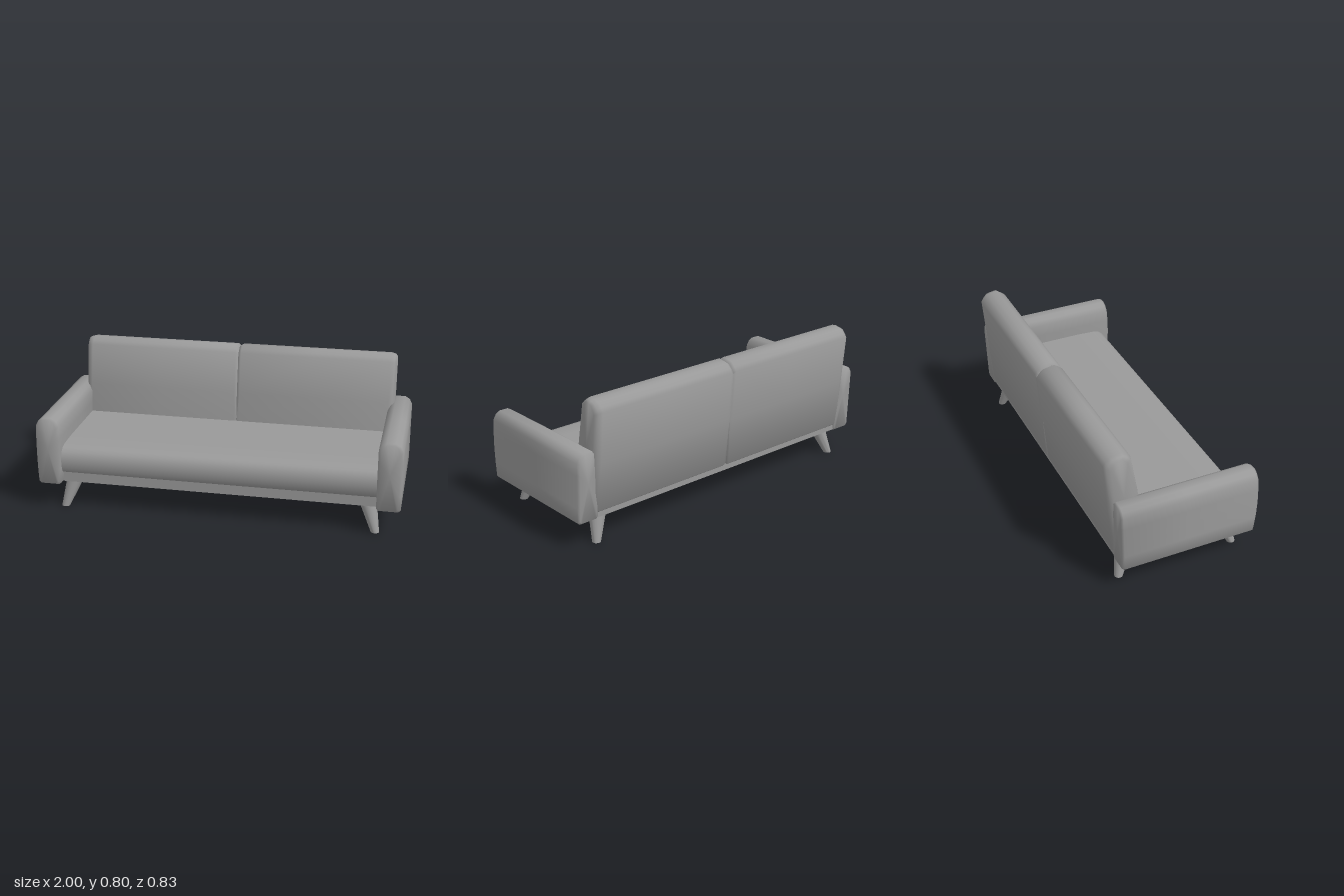
import * as THREE from 'three';
import { toCreasedNormals } from 'three/addons/utils/BufferGeometryUtils.js';

const material = new THREE.MeshStandardMaterial({ color: 0x999999 });

// Closed solid through equal-length convex rings of [x, y, z], capped at both ends
function loft(rings, crease) {
  const n = rings[0].length;
  const pts = rings.flat();
  const index = [];
  for (let r = 0; r < rings.length - 1; r++) {
    for (let i = 0; i < n; i++) {
      const a = r * n + i, b = r * n + (i + 1) % n;
      index.push(a, b, b + n, a, b + n, a + n);
    }
  }
  [0, rings.length - 1].forEach((r, end) => {
    const c = pts.length;
    pts.push([0, 1, 2].map(k => rings[r].reduce((s, p) => s + p[k], 0) / n));
    for (let i = 0; i < n; i++) {
      const a = r * n + i, b = r * n + (i + 1) % n;
      index.push(...(end ? [c, a, b] : [c, b, a]));
    }
  });
  // Turn the faces outward if the enclosed volume comes out negative
  const v = pts.map(p => new THREE.Vector3(...p));
  let volume = 0;
  for (let i = 0; i < index.length; i += 3) {
    volume += v[index[i]].dot(v[index[i + 1]].clone().cross(v[index[i + 2]]));
  }
  if (volume < 0) index.reverse();
  const geometry = new THREE.BufferGeometry().setFromPoints(v);
  geometry.setIndex(index);
  return toCreasedNormals(geometry, crease);
}

// Armrest: front outline swept from back to front, with a bulging front face
function armGeometry(side) {
  const half = [[0.052, 0.145], [0.065, 0.158], [0.065, 0.24], [0.065, 0.33], [0.065, 0.42],
    [0.065, 0.488], [0.05, 0.517], [0.025, 0.532]];
  const outline = [...half, ...half.map(([x, y]) => [-x, y]).reverse()];
  const stations = [[-0.357, 0.012], [-0.347, 0], [0, 0], [0.388, 0], [0.402, 0.014]];
  return loft(stations.map(([z, inset]) => outline.map(([x, y]) => {
    const t = (y - 0.335) / 0.19;
    const shift = z > 0.3 ? 0.013 * Math.max(0, 1 - t * t)
      : z < -0.3 ? -0.012 * THREE.MathUtils.clamp((y - 0.15) / 0.33, 0, 1) : 0;
    const sx = 1 - inset / 0.065, sy = 1 - inset * 0.5 / 0.19;
    return [side * (0.935 + x * sx), 0.338 + (y - 0.338) * sy, z + shift];
  })), 1.45);
}

// Back cushion: leaning side profile swept sideways, with softened ends
function backGeometry(side) {
  const profile = [[-0.19, 0.2], [-0.205, 0.365], [-0.222, 0.53], [-0.265, 0.76], [-0.285, 0.778],
    [-0.312, 0.796], [-0.345, 0.791], [-0.375, 0.785], [-0.398, 0.762], [-0.412, 0.74],
    [-0.387, 0.46], [-0.362, 0.19], [-0.35, 0.18], [-0.2, 0.18]];
  const stations = [[0, 0.95, 0.965], [0.016, 1, 1], [0.45, 1, 1], [0.87, 1, 1],
    [0.892, 0.9, 0.985], [0.905, 0.62, 0.955]];
  return loft(stations.map(([x, sz, sy]) => profile.map(([z, y]) => {
    const mid = -0.27 - 0.12 * (y - 0.18);
    return [side * x, 0.45 + (y - 0.45) * sy, mid + (z - mid) * sz];
  })), 1.3);
}

// Tapered leg leaning outward, cut level at both ends
function legGeometry(foot, top) {
  const ring = (c, radius, y) => Array.from({ length: 20 }, (_, i) => {
    const a = i / 20 * Math.PI * 2;
    return [c[0] + radius * Math.cos(a), y, c[1] + radius * Math.sin(a)];
  });
  return loft([ring(foot, 0.023, 0), ring(top, 0.048, 0.152)], 0.75);
}

export function createModel() {
  const sofa = new THREE.Group();
  sofa.name = 'sofa';
  const add = (name, geometry) => {
    const mesh = new THREE.Mesh(geometry, material);
    mesh.name = name;
    sofa.add(mesh);
    return mesh;
  };

  // Flat base frame
  add('baseFrame', new THREE.BoxGeometry(1.76, 0.06, 0.7)).position.set(0, 0.18, 0);

  // Single seat cushion with a rounded front
  const seat = [[-0.3, 0.203], [0.345, 0.203], [0.364, 0.213], [0.376, 0.24], [0.381, 0.275],
    [0.378, 0.305], [0.366, 0.333], [0.345, 0.35], [0.31, 0.36], [0.2, 0.365], [-0.3, 0.365]];
  add('seatCushion', loft([-0.874, 0.874].map(x => seat.map(([z, y]) => [x, y, z])), 1.2));

  // Mirrored arms, back cushions and legs
  for (const side of [1, -1]) {
    const label = side > 0 ? 'left' : 'right';
    add(label + 'Arm', armGeometry(side));
    add(label + 'BackCushion', backGeometry(side));
    add(label + 'FrontLeg', legGeometry([side * 0.867, 0.342], [side * 0.82, 0.293]));
    add(label + 'RearLeg', legGeometry([side * 0.867, -0.322], [side * 0.82, -0.272]));
  }
  return sofa;
}
